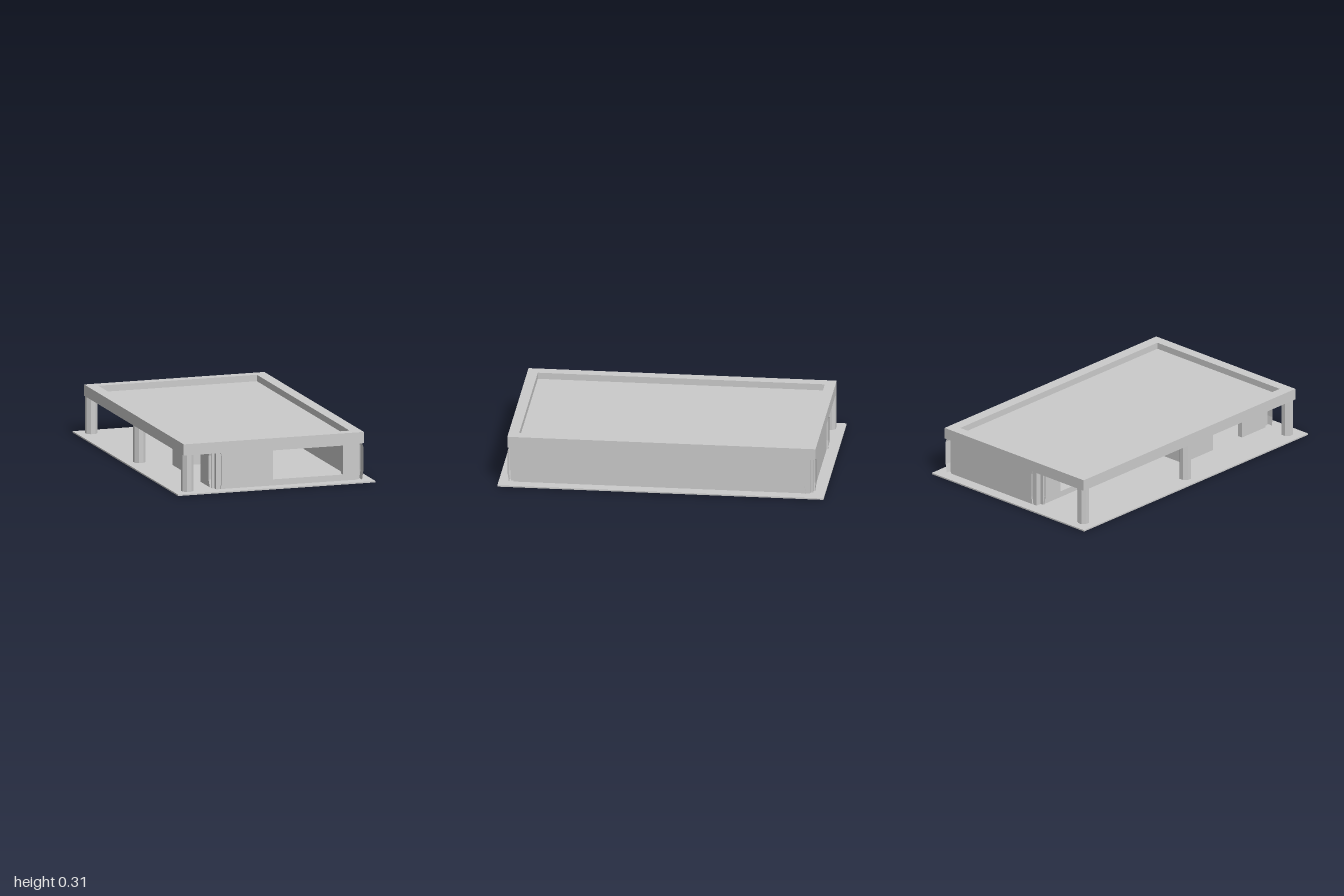
import * as THREE from 'three';

const grey = new THREE.MeshStandardMaterial({ color: 0xcccccc, flatShading: true });
const FLOOR = 0.012, EAVE = 0.24, T = 0.035;

function add(parent, name, geometry, x = 0, y = 0, z = 0) {
  const mesh = new THREE.Mesh(geometry, grey);
  mesh.name = name;
  mesh.position.set(x, y, z);
  parent.add(mesh);
  return mesh;
}

// Box given by its minimum and maximum corners
function box(parent, name, [x0, y0, z0], [x1, y1, z1]) {
  return add(parent, name, new THREE.BoxGeometry(x1 - x0, y1 - y0, z1 - z0),
    (x0 + x1) / 2, (y0 + y1) / 2, (z0 + z1) / 2);
}

function rect(Type, x0, y0, x1, y1) {
  return new Type([[x0, y0], [x1, y0], [x1, y1], [x0, y1]].map(([x, y]) => new THREE.Vector2(x, y)));
}

// Rectangular panel with an optional rectangular opening, extruded along +z
function panel(outer, hole, depth) {
  const shape = rect(THREE.Shape, ...outer);
  if (hole) shape.holes.push(rect(THREE.Path, ...hole));
  return new THREE.ExtrudeGeometry(shape, { depth, bevelEnabled: false });
}

// Wall running along x, centred on z
function wallX(parent, name, x0, x1, z, top, hole) {
  return add(parent, name, panel([x0, FLOOR, x1, top], hole, T), 0, 0, z - T / 2);
}

// Wall running along z, centred on x (panel coordinate u equals z)
function wallZ(parent, name, z0, z1, x, top, hole) {
  const flipped = hole && [-hole[2], hole[1], -hole[0], hole[3]];
  const g = panel([-z1, FLOOR, -z0, top], flipped, T).rotateY(Math.PI / 2);
  return add(parent, name, g, x - T / 2, 0, 0);
}

// Square post whose four faces swell outwards between its ends
function pierGeometry() {
  const a = 0.026, b = 0.034;
  const section = [[a, b], [b, a], [b, -a], [a, -b], [-a, -b], [-b, -a], [-b, a], [-a, b]];
  const levels = [[FLOOR, a], [0.065, b], [0.215, b], [EAVE, a]];
  const clamp = THREE.MathUtils.clamp;
  const pos = [], index = [], n = section.length;
  for (const [y, limit] of levels)
    for (const [x, z] of section) pos.push(clamp(x, -limit, limit), y, clamp(z, -limit, limit));
  for (let l = 0; l < levels.length - 1; l++)
    for (let i = 0; i < n; i++) {
      const p = l * n + i, q = l * n + (i + 1) % n;
      index.push(p, p + n, q, q, p + n, q + n);
    }
  const g = new THREE.BufferGeometry();
  g.setAttribute('position', new THREE.Float32BufferAttribute(pos, 3));
  g.setIndex(index);
  g.computeVertexNormals();
  return g;
}

export function createModel() {
  const model = new THREE.Group();
  model.name = 'pavilion';

  // Ground slab
  box(model, 'baseSlab', [-0.635, 0.003, -1], [0.635, FLOOR, 1]);

  // Roof: perimeter beam with a sunken slab
  const roof = new THREE.Group();
  roof.name = 'roof';
  model.add(roof);
  const frame = panel([-0.58, -0.945, 0.58, 0.945], [-0.51, -0.88, 0.51, 0.88], 0.07);
  add(roof, 'roofBeam', frame.rotateX(-Math.PI / 2), 0, EAVE, 0);
  box(roof, 'roofSlab', [-0.51, 0.26, -0.88], [0.51, 0.27, 0.88]);

  // Outer walls
  const walls = new THREE.Group();
  walls.name = 'walls';
  model.add(walls);
  wallZ(walls, 'sideWall', -0.91, 0.91, 0.545, EAVE);
  wallX(walls, 'backWall', -0.17, 0.545, -0.91, EAVE);
  wallX(walls, 'frontWall', -0.365, 0.545, 0.91, EAVE, [0, 0.05, 0.45, 0.23]);

  // Stepped walls facing the veranda
  wallZ(walls, 'verandaWindowWall', -0.89, 0.17, -0.17, 0.26, [-0.73, 0.05, 0, 0.23]);
  wallX(walls, 'verandaStepWall', -0.365, -0.17, 0.1675, 0.26);
  wallZ(walls, 'verandaWall', 0.15, 0.42, -0.365, 0.26);
  wallZ(walls, 'verandaFrontWall', 0.68, 0.89, -0.365, 0.26);
  box(walls, 'doorLintel', [-0.3825, 0.23, 0.42], [-0.3475, 0.26, 0.68]);

  // Corner piers
  const pier = pierGeometry();
  for (const [x, z] of [[0.545, 0.91], [0.545, -0.91], [-0.365, 0.91], [-0.17, -0.91]])
    add(model, 'cornerPier', pier, x, 0, z);

  // Octagonal veranda columns, flat sides facing the axes
  const column = new THREE.CylinderGeometry(0.0375, 0.0375, EAVE, 8).rotateY(Math.PI / 8);
  for (const z of [-0.91, 0, 0.91]) add(model, 'verandaColumn', column, -0.545, EAVE / 2, z);

  return model;
}
